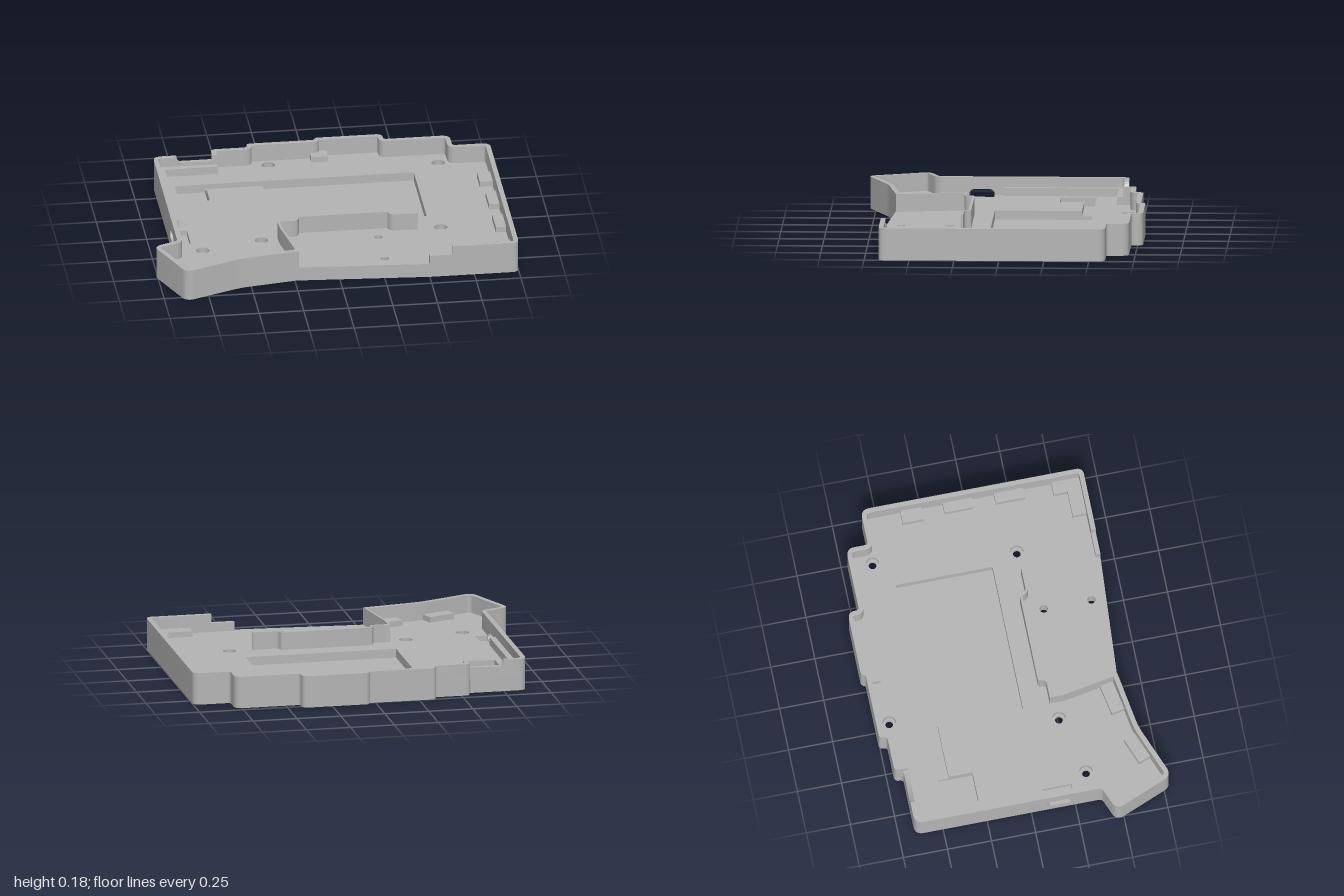
import * as THREE from 'three';
import { toCreasedNormals } from 'three/addons/utils/BufferGeometryUtils.js';

const FLOOR = 0.08, TOP = 0.18, WALL = 0.027;

// Plan outline: [x, z, corner length], back-left corner first
const OUTLINE = [
  [-0.88, -0.66, 0.05], [-0.55, -0.66, 0.02], [-0.55, -0.71, 0.03],
  [-0.345, -0.71, 0.02], [-0.345, -0.755, 0.025], [0.035, -0.755, 0.01], [0.045, -0.78, 0.015],
  [0.42, -0.78, 0.04], [0.42, -0.715, 0.02], [0.79, -0.715, 0.05], [0.79, -0.59, 0.02],
  [1, -0.59, 0.05], [1, 0.67, 0.04], [0.5, 0.67, 0], [-0.24, 0.62, 0],
  [-0.56, 0.67, 0.05], [-0.88, 0.795, 0.05], [-1.02, 0.455, 0.05], [-0.88, 0.4, 0.02],
];

// Closed shape with a rounded corner wherever the third value is above zero
function roundedShape(pts) {
  const shape = new THREE.Shape();
  pts.forEach(([x, z, d = 0], i) => {
    const c = new THREE.Vector2(x, z);
    const toward = (q) => new THREE.Vector2(q[0], q[1]).sub(c).setLength(d).add(c);
    const a = toward(pts[(i + pts.length - 1) % pts.length]);
    const b = toward(pts[(i + 1) % pts.length]);
    if (i === 0) shape.moveTo(a.x, a.y);
    else shape.lineTo(a.x, a.y);
    if (d > 0) shape.quadraticCurveTo(c.x, c.y, b.x, b.y);
  });
  shape.closePath();
  return shape;
}

// Strip of even thickness on the inner side of an open path
function stripShape(path, t) {
  const inner = path.map(([x, z, d = 0], i) => {
    const dir = (a, b) => new THREE.Vector2(b[0] - a[0], b[1] - a[1]).normalize();
    const d1 = i > 0 ? dir(path[i - 1], path[i]) : dir(path[0], path[1]);
    const d2 = i < path.length - 1 ? dir(path[i], path[i + 1]) : d1;
    const k = 1 + d1.dot(d2);
    const turn = d1.cross(d2) / k;
    return [x - t * (d1.y + d2.y) / k, z + t * (d1.x + d2.x) / k, d > 0 ? Math.max(0, d - t * turn) : 0];
  });
  const pts = [...path, ...inner.reverse()];
  const area = pts.reduce((s, p, i) => {
    const q = pts[(i + 1) % pts.length];
    return s + p[0] * q[1] - q[0] * p[1];
  }, 0);
  return roundedShape(area < 0 ? pts.reverse() : pts);
}

const circle = (x, z, r) => new THREE.Path().absarc(x, z, r, 0, Math.PI * 2);

function slot(x, y, half, r) {
  const p = new THREE.Path();
  p.absarc(x + half, y, r, -Math.PI / 2, Math.PI / 2);
  p.absarc(x - half, y, r, Math.PI / 2, Math.PI * 1.5);
  p.closePath();
  return p;
}

const rect = (x0, z0, x1, z1) => roundedShape([[x0, z0], [x1, z0], [x1, z1], [x0, z1]]);

export function createModel() {
  const group = new THREE.Group();
  const grey = new THREE.MeshStandardMaterial({ color: 0xb4b4b4 });
  grey.name = 'grey plastic';

  const add = (name, geo) => {
    const mesh = new THREE.Mesh(geo, grey);
    mesh.name = name;
    group.add(mesh);
    return mesh;
  };
  const extrude = (shape, depth) => toCreasedNormals(
    new THREE.ExtrudeGeometry(shape, { depth, bevelEnabled: false, curveSegments: 10 }), 0.6);
  // Raise a plan shape from y0 to y1
  const slab = (name, shape, y0, y1) =>
    add(name, extrude(shape, y1 - y0).rotateX(Math.PI / 2).translate(0, y1, 0));
  const block = (name, x0, x1, z0, z1, y0, y1) =>
    add(name, new THREE.BoxGeometry(x1 - x0, y1 - y0, z1 - z0)
      .translate((x0 + x1) / 2, (y0 + y1) / 2, (z0 + z1) / 2));

  // Floor in three layers, so that pockets and bores have stepped depths
  const screws = [[-0.23, -0.675], [0.71, -0.58], [0.62, 0.22], [-0.39, 0.255], [-0.73, 0.34]];
  const plain = [[0.26, 0.3], [0.26, 0.57]].map(([x, z]) => () => circle(x, z, 0.023));
  const feet = [[0.92, -0.52], [0.92, 0.59], [-0.79, -0.59], [-0.87, 0.6]];
  const bores = (r) => [...screws.map(([x, z]) => circle(x, z, r)), ...plain.map((f) => f())];
  const footSlots = () => feet.map(([x, z]) => slot(x, z, 0.025, 0.036));

  const bottom = roundedShape(OUTLINE);
  bottom.holes.push(...bores(0.042), ...footSlots());
  slab('floorBottom', bottom, 0, 0.03);

  const middle = roundedShape(OUTLINE);
  middle.holes.push(...bores(0.022), ...footSlots(),
    rect(-0.295, -0.48, 0.56, 0.07), rect(-0.78, -0.48, -0.61, -0.28));
  slab('floorMiddle', middle, 0.03, 0.05);

  const upper = roundedShape([...OUTLINE,
    [-0.88, 0.245], [-0.785, 0.245], [-0.785, 0.08], [-0.88, 0.08]]);
  upper.holes.push(...bores(0.037), roundedShape([
    [-0.78, -0.48], [0.56, -0.48], [0.56, 0.07], [-0.295, 0.07],
    [-0.295, -0.415], [-0.61, -0.415], [-0.61, -0.28], [-0.78, -0.28]]));
  slab('floorTop', upper, 0.05, FLOOR);

  // Outer walls
  slab('backAndRightWall', stripShape(
    [[-0.55, -0.633], ...OUTLINE.slice(2, 13), [0.63, 0.67]], WALL), FLOOR, TOP);
  slab('thumbWall', stripShape(
    [[-0.24, 0.62], ...OUTLINE.slice(15), [-0.88, 0.245]], WALL), FLOOR, TOP);
  slab('leftWall', stripShape(
    [[-0.88, 0.08], OUTLINE[0], [-0.75, -0.66]], WALL), FLOOR, TOP);
  block('frontLowWall', 0.5, 0.63, 0.67 - WALL, 0.67, FLOOR, 0.13);

  // Lowered part of the back wall with a curved start
  const notch = new THREE.Shape();
  notch.moveTo(-0.75, FLOOR);
  notch.lineTo(-0.55, FLOOR);
  notch.lineTo(-0.55, 0.145);
  notch.lineTo(-0.73, 0.145);
  notch.quadraticCurveTo(-0.745, 0.15, -0.75, TOP);
  notch.closePath();
  add('backLowWall', extrude(notch, WALL).translate(0, 0, -0.66));

  // Left wall panel with the cable port
  const port = rect(0.08, 0.05, 0.245, TOP);
  port.holes.push(slot(0.1625, 0.083, 0.042, 0.029));
  add('portPanel', extrude(port, WALL).rotateY(-Math.PI / 2).translate(-0.88 + WALL, 0, 0));

  // Thin inner wall around the open front bay
  slab('innerWall', stripShape([
    [-0.24, 0.62], [-0.297, 0.3, 0.03], [-0.297, 0.222, 0], [-0.19, 0.222, 0.025],
    [-0.185, 0.178, 0.012], [0.335, 0.178, 0.012], [0.345, 0.217, 0.025], [0.49, 0.217]], 0.014), FLOOR, TOP);

  // Ledges in the back-left corner
  block('leftLedge', -0.853, -0.82, -0.633, 0.04, FLOOR, 0.125);
  block('backLedge', -0.82, -0.523, -0.633, -0.6, FLOOR, 0.125);

  // Support pads
  const PAD = 0.112;
  [[0.9, 0.975, -0.37, -0.25], [0.915, 0.975, -0.13, 0.035], [0.915, 0.975, 0.16, 0.325],
    [0.9, 0.975, 0.487, 0.645], [0.755, 0.9, 0.565, 0.645], [0.01, 0.105, -0.755, -0.675],
  ].forEach(([x0, x1, z0, z1]) => block('supportPad', x0, x1, z0, z1, FLOOR, PAD));
  [[-0.66, 0.645, 0.16, 0.36], [-0.34, 0.567, 0.175, 0.19]].forEach(([x, z, w, turn]) => {
    const pad = add('thumbPad', new THREE.BoxGeometry(w, PAD - FLOOR, 0.075));
    pad.position.set(x, (PAD + FLOOR) / 2, z);
    pad.rotation.y = turn;
  });

  return group;
}
